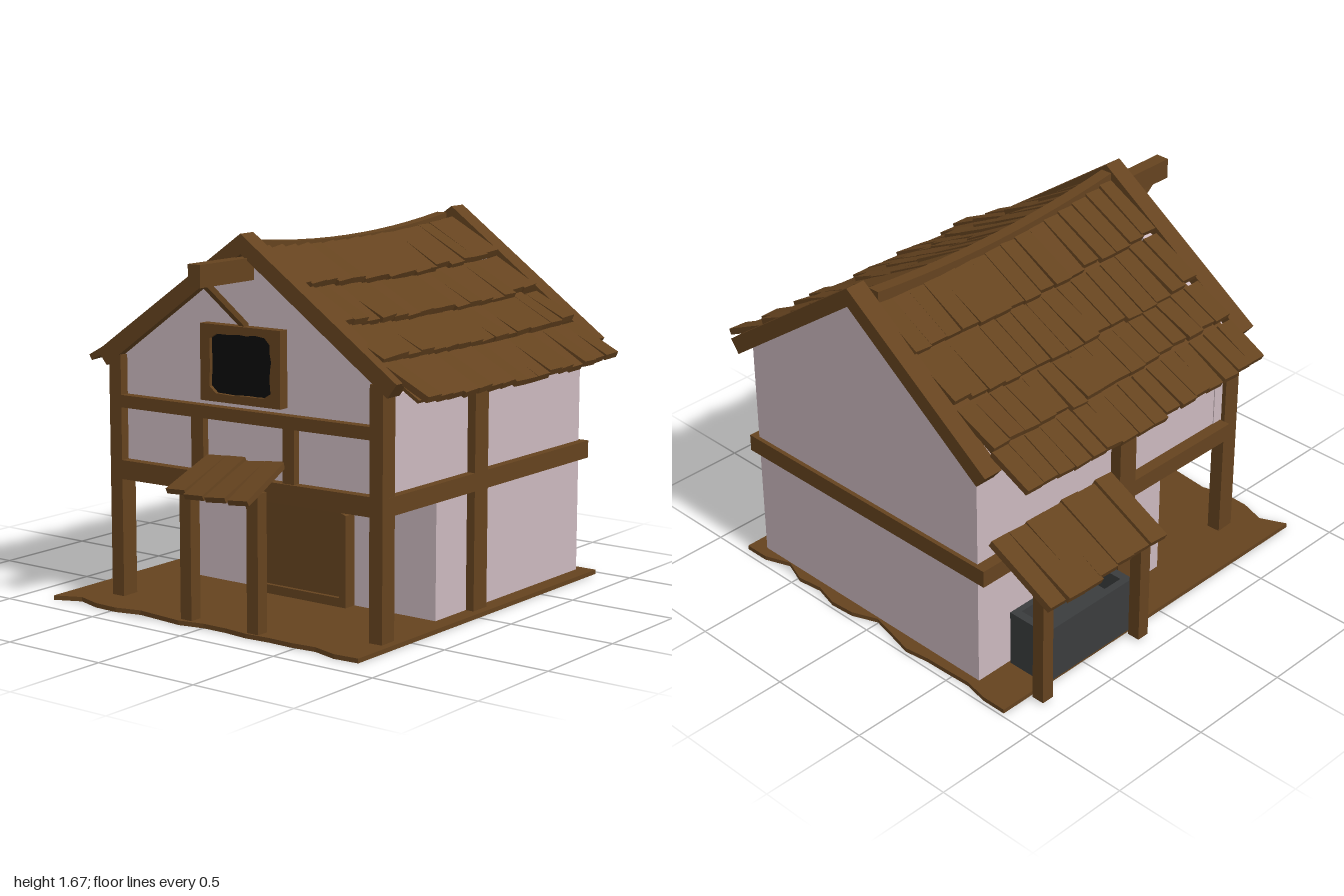
import * as THREE from 'three';

const material = (name, color) => Object.assign(new THREE.MeshStandardMaterial({ color }), { name });

export function createModel() {
  const wood = material('brown wood', 0x65431f);
  const plaster = material('pale plaster', 0xcbb8be);
  const black = material('dark opening', 0x0c0c0c);
  const iron = material('dark iron', 0x3a3c3d);

  let seed = 7;
  const rand = () => (seed = (seed * 16807) % 2147483647) / 2147483647;
  const jitter = (a) => (rand() - 0.5) * 2 * a;

  const house = new THREE.Group();
  house.name = 'timberHouse';
  const subgroup = (name) => {
    const g = new THREE.Group();
    g.name = name;
    house.add(g);
    return g;
  };
  const add = (parent, name, geometry, mat) => {
    const m = new THREE.Mesh(geometry, mat);
    m.name = name;
    parent.add(m);
    return m;
  };
  // Box given by its limits on each axis
  const box = (parent, name, [x0, x1], [y0, y1], [z0, z1], mat = wood) => {
    const m = add(parent, name, new THREE.BoxGeometry(x1 - x0, y1 - y0, z1 - z0), mat);
    m.position.set((x0 + x1) / 2, (y0 + y1) / 2, (z0 + z1) / 2);
    return m;
  };
  // Board running between two points, its width lying along "side"
  const plank = (parent, name, from, to, thick, width, side) => {
    const a = new THREE.Vector3(...from), b = new THREE.Vector3(...to);
    const d = b.clone().sub(a);
    const len = d.length();
    d.normalize();
    const s = new THREE.Vector3(...side);
    s.addScaledVector(d, -s.dot(d)).normalize();
    const up = s.clone().cross(d);
    const m = add(parent, name, new THREE.BoxGeometry(len, thick, width), wood);
    m.quaternion.setFromRotationMatrix(new THREE.Matrix4().makeBasis(d, up, s));
    m.position.copy(a).add(b).multiplyScalar(0.5);
    return m;
  };
  const polygon = (pts) => new THREE.Shape(pts.map(([x, y]) => new THREE.Vector2(x, y)));
  const slab = (parent, name, shape, z0, z1, mat = wood) => {
    const m = add(parent, name,
      new THREE.ExtrudeGeometry(shape, { depth: z1 - z0, bevelEnabled: false, curveSegments: 10 }), mat);
    m.position.z = z0;
    return m;
  };
  const gable = (drop) => polygon([[-0.62, 0.56], [0.76, 0.56], [0.76, 1.12 - drop],
    [0.08, 1.61 - drop], [-0.62, 1.11 - drop]]);
  const barge = polygon([[0.083, 1.67], [-0.705, 1.11], [-0.655, 1.05], [0.083, 1.585],
    [0.82, 1.05], [0.865, 1.11]]);

  // Ground deck with ragged front and back edges
  const edge = [];
  for (let i = 0; i <= 14; i++) edge.push([-0.83 + i * 0.119, -0.865 + jitter(0.03)]);
  for (let i = 14; i >= 0; i--) edge.push([-0.83 + i * 0.119, 0.955 + jitter(0.035)]);
  const deck = slab(house, 'groundDeck', polygon(edge), 0, 0.02);
  deck.rotation.x = -Math.PI / 2;

  // Walls
  box(house, 'lowerWalls', [-0.62, 0.76], [0.02, 0.58], [-0.92, 0.22], plaster);
  slab(house, 'upperWalls', gable(0.08), -0.91, 0.57, plaster);
  slab(house, 'backGable', gable(0), -0.92, -0.86, plaster);
  box(house, 'porchCeiling', [-0.6, 0.74], [0.545, 0.56], [0.22, 0.6]);

  // Side and back framing
  for (const [name, xs] of [['left', [-0.675, -0.6]], ['right', [0.74, 0.8]]]) {
    box(house, name + 'SideBeam', xs, [0.55, 0.63], [-0.93, 0.62]);
    box(house, name + 'MiddlePost', xs, [0.02, 1.08], [-0.11, -0.01]);
  }
  box(house, 'backBeam', [-0.675, 0.8], [0.55, 0.63], [-0.94, -0.9]);
  slab(house, 'backBargeBoard', barge, -0.955, -0.86);

  // Front gable, turned slightly
  const pivot = subgroup('frontGable');
  pivot.position.set(0.08, 0, 0.645);
  pivot.rotation.y = 0.038;
  const front = new THREE.Group();
  front.name = 'frontFraming';
  front.position.x = -0.08;
  pivot.add(front);
  const face = [-0.045, 0.045];
  slab(front, 'gableWall', gable(0), -0.1, 0, plaster);
  slab(front, 'frontBargeBoard', barge, ...face);
  box(front, 'leftCornerPost', [-0.64, -0.575], [0.02, 1.1], face);
  box(front, 'rightCornerPost', [0.735, 0.8], [0.02, 1.1], face);
  box(front, 'upperBeam', [-0.58, 0.74], [0.87, 0.925], face);
  box(front, 'lowerBeam', [-0.58, 0.74], [0.55, 0.635], face);
  box(front, 'studLeft', [-0.195, -0.13], [0.63, 0.875], [-0.04, 0.035]);
  box(front, 'studRight', [0.29, 0.35], [0.63, 0.875], [-0.04, 0.035]);

  // Window with a ragged dark opening
  const frame = polygon([[-0.13, 0.95], [0.29, 0.95], [0.29, 1.28], [-0.13, 1.28]]);
  const ragged = [];
  for (let i = 0; i < 28; i++) {
    const a = (i / 28) * Math.PI * 2, c = Math.cos(a), s = Math.sin(a);
    const k = Math.pow(c ** 8 + s ** 8, -1 / 8);
    ragged.push([0.08 + c * k * (0.16 + jitter(0.005)), 1.115 + s * k * (0.13 + jitter(0.005))]);
  }
  frame.holes.push(polygon(ragged));
  slab(front, 'windowFrame', frame, -0.03, 0.05);
  box(front, 'windowOpening', [-0.11, 0.27], [0.97, 1.265], [0.025, 0.032], black);

  // Hoist beam and brace
  box(house, 'hoistBeam', [0.055, 0.12], [1.475, 1.57], [0.6, 0.99]);
  plank(house, 'hoistBrace', [0.09, 1.49, 0.93], [0.075, 1.27, 0.64], 0.025, 0.03, [1, 0, 0]);

  // Arched door
  const arch = (x0, x1, y0, y1, rise) => {
    const s = new THREE.Shape();
    s.moveTo(x0, y0);
    s.lineTo(x1, y0);
    s.lineTo(x1, y1);
    s.quadraticCurveTo((x0 + x1) / 2, y1 + rise * 2, x0, y1);
    return s;
  };
  const doorFrame = arch(-0.2, 0.33, 0.02, 0.43, 0.06);
  doorFrame.holes.push(arch(-0.165, 0.295, 0.06, 0.41, 0.05));
  slab(house, 'doorFrame', doorFrame, 0.2, 0.285);
  slab(house, 'doorPanel', arch(-0.18, 0.31, 0.03, 0.415, 0.055), 0.2, 0.265);

  // Door awning
  const awning = subgroup('doorAwning');
  for (let i = 0; i < 4; i++) {
    const x = -0.073 + i * 0.106;
    plank(awning, 'awningBoard', [x, 0.705 + jitter(0.008), 0.66],
      [x + jitter(0.012), 0.585 + jitter(0.008), 0.93 + jitter(0.015)], 0.025, 0.11, [1, 0.1, 0]);
  }
  for (const x of [-0.095, 0.27]) box(awning, 'awningPost', [x - 0.03, x + 0.03], [0.02, 0.62], [0.79, 0.85]);

  // Roof tiles: lower edge of each row, starting at the ridge
  const sag = (z) => 0.035 * (1 - Math.min(1, ((z + 0.12) / 0.74) ** 2));
  const roofSides = {
    left: [[0.06, 1.6], [-0.21, 1.455], [-0.455, 1.305], [-0.65, 1.19], [-0.855, 1.065]],
    right: [[0.08, 1.61], [0.33, 1.47], [0.55, 1.325], [0.75, 1.2], [0.975, 1.05]],
  };
  for (const [name, rows] of Object.entries(roofSides)) {
    const roof = subgroup(name + 'Roof');
    for (let r = 0; r < 4; r++) {
      const [ax, ay] = rows[r], [bx, by] = rows[r + 1];
      for (let i = 0; i < 16; i++) {
        const z = -0.82 + i * 0.0925;
        const dip = sag(z) * (1 - r * 0.2);
        plank(roof, 'roofTile', [ax, ay - (r ? 0.028 : 0) - dip, z],
          [bx + jitter(0.013), by - dip + jitter(0.008), z + jitter(0.006)],
          0.028, 0.094, [0, jitter(0.08) - 0.06, 1]);
      }
    }
    // Boarding below the tiles
    const [top, low] = [rows[0], rows[4]];
    plank(roof, 'roofBoarding', [top[0], top[1] - 0.07, -0.13],
      [low[0] * 0.94, low[1] - 0.015, -0.13], 0.015, 1.42, [0, 0, 1]);
  }

  // Sagging ridge beam
  const ridge = new THREE.BoxGeometry(0.055, 0.06, 1.46, 1, 1, 12);
  const p = ridge.attributes.position;
  for (let i = 0; i < p.count; i++) {
    const z = p.getZ(i);
    p.setX(i, p.getX(i) + z * 0.03);
    p.setY(i, p.getY(i) + 0.045 * (z / 0.73) ** 2);
  }
  ridge.computeVertexNormals();
  add(house, 'ridgeBeam', ridge, wood).position.set(0.058, 1.565, -0.12);

  // Lean-to shelter on the left side
  const leanTo = subgroup('leanTo');
  for (let i = 0; i < 7; i++) {
    const z = -0.815 + i * 0.104;
    plank(leanTo, 'leanToBoard', [-0.64, 0.71 + jitter(0.006), z],
      [-0.98 + jitter(0.015), 0.55 + jitter(0.008), z + jitter(0.008)],
      0.032, 0.107, [0, jitter(0.08) - 0.05, 1]);
  }
  for (const z of [-0.8, -0.2]) box(leanTo, 'leanToPost', [-0.91, -0.85], [0.01, 0.585], [z - 0.03, z + 0.03]);

  // Open trough below the lean-to
  const rect = (x0, x1, y0, y1) => polygon([[x0, y0], [x1, y0], [x1, y1], [x0, y1]]);
  const rim = rect(-0.84, -0.63, 0.2, 0.74);
  rim.holes.push(rect(-0.805, -0.66, 0.24, 0.7));
  const trough = slab(house, 'troughWalls', rim, 0, 0.27, iron);
  trough.rotation.x = -Math.PI / 2;
  trough.position.set(0, 0.02, 0);
  box(house, 'troughFloor', [-0.82, -0.64], [0.02, 0.19], [-0.72, -0.22], iron);

  return house;
}
